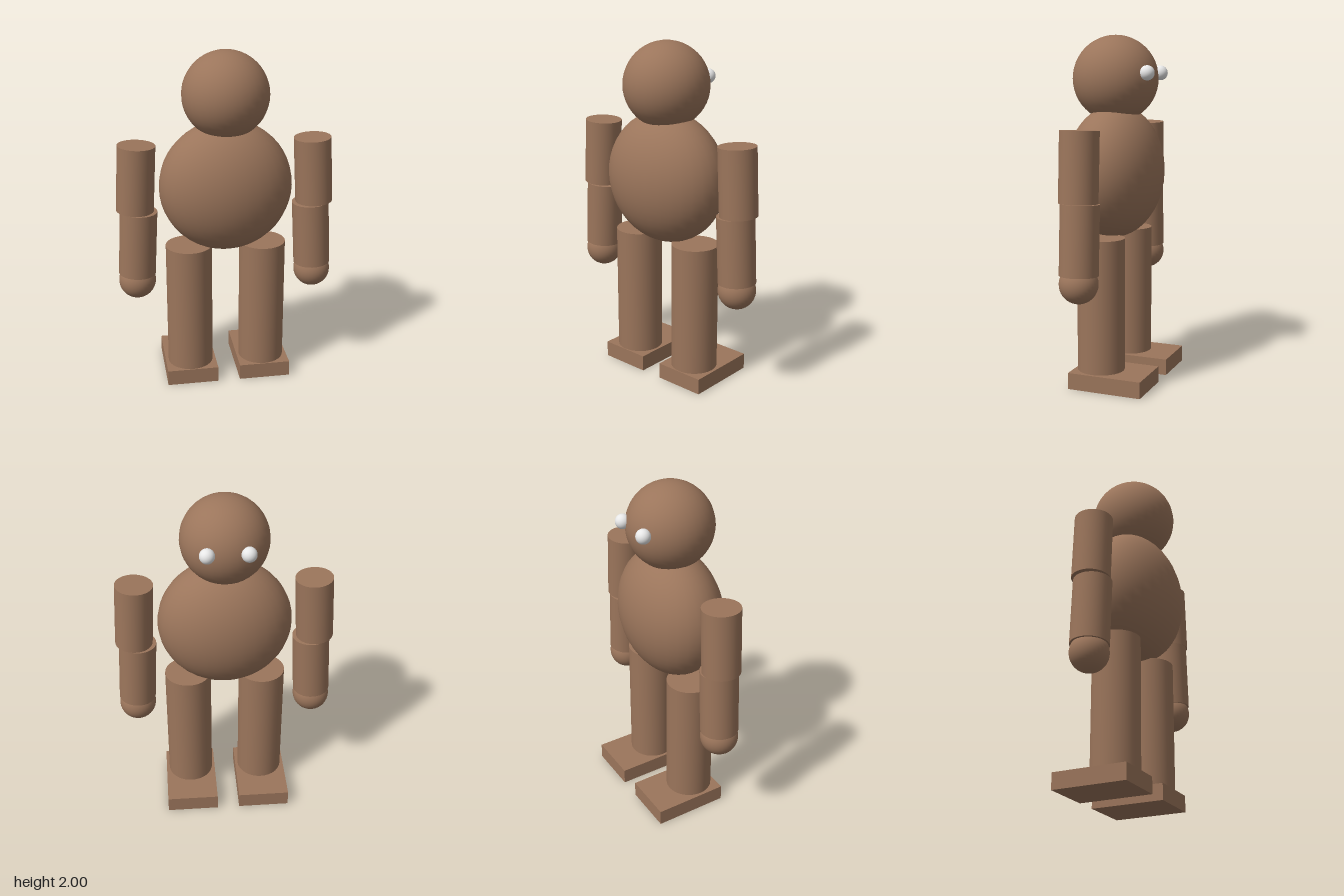
import * as THREE from 'three';

const AXIS_Z = 0.013; // depth of the body's centre line

export function createModel() {
  const model = new THREE.Group();
  model.name = 'figure';
  const brown = new THREE.MeshStandardMaterial({ color: 0x9b755b });
  brown.name = 'brown';
  const white = new THREE.MeshStandardMaterial({ color: 0xf4f4f4 });
  white.name = 'white';

  function add(name, geometry, material, x, y, z = AXIS_Z) {
    const mesh = new THREE.Mesh(geometry, material);
    mesh.name = name;
    mesh.position.set(x, y, z);
    model.add(mesh);
    return mesh;
  }

  // Torso and head
  const ball = new THREE.SphereGeometry(1, 32, 24);
  add('torso', ball, brown, 0, 1.22).scale.set(0.385, 0.385, 0.27);
  add('head', ball, brown, 0, 1.753).scale.setScalar(0.247);

  const armSegment = new THREE.CylinderGeometry(0.108, 0.108, 0.387, 32);
  const legSegment = new THREE.CylinderGeometry(0.136, 0.136, 0.387, 32);
  const foot = new THREE.BoxGeometry(0.306, 0.095, 0.437);

  for (const [side, s] of [['left', 1], ['right', -1]]) {
    // Eyes sit on the -z side of the head, above the toes
    add(side + 'Eye', ball, white, s * 0.11, 1.785, -0.22).scale.setScalar(0.042);

    // Arms lean slightly outwards towards the hands
    add(side + 'UpperArm', armSegment, brown, s * 0.515, 1.29).rotation.z = s * 0.053;
    add(side + 'Forearm', armSegment, brown, s * 0.515, 0.898).rotation.z = s * 0.053;
    add(side + 'Hand', ball, brown, s * 0.526, 0.658).scale.setScalar(0.108);

    // Legs and feet
    add(side + 'Thigh', legSegment, brown, s * 0.219, 0.667);
    add(side + 'Shin', legSegment, brown, s * 0.219, 0.28);
    add(side + 'Foot', foot, brown, s * 0.22, 0.0475, -0.064);
  }
  return model;
}
